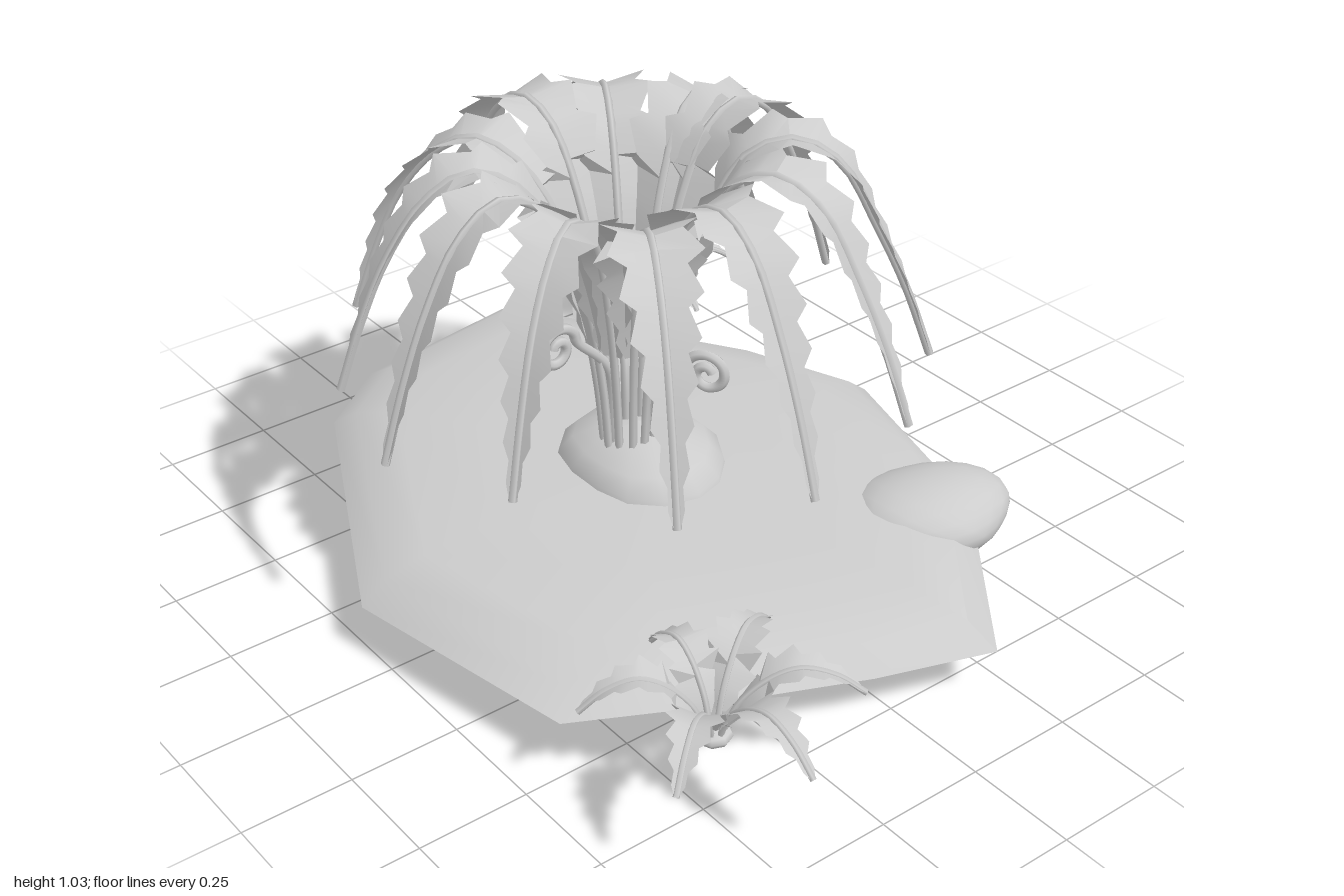
import * as THREE from 'three';
import { toCreasedNormals } from 'three/addons/utils/BufferGeometryUtils.js';

const stone = new THREE.MeshStandardMaterial({ color: 0xcccccc, side: THREE.DoubleSide });
stone.name = 'pale grey';

function part(name, geometry) {
  const mesh = new THREE.Mesh(geometry, stone);
  mesh.name = name;
  return mesh;
}

function build(points, index, crease) {
  const g = new THREE.BufferGeometry();
  g.setAttribute('position', new THREE.Float32BufferAttribute(points, 3));
  g.setIndex(index);
  return toCreasedNormals(g, crease);
}

// Closed body: one outline scaled into rings, listed from bottom to top
function loft(outline, [cx, cz], rings, crease) {
  const n = outline.length, points = [], index = [];
  rings.forEach(([s, y]) => outline.forEach(([x, z]) =>
    points.push(cx + (x - cx) * s, y, cz + (z - cz) * s)));
  for (let r = 0; r < rings.length - 1; r++) {
    for (let i = 0; i < n; i++) {
      const a = r * n + i, b = r * n + (i + 1) % n;
      index.push(a, b, b + n, a, b + n, a + n);
    }
  }
  return build(points, index, crease);
}

// Toothed, gently folded blade following a curve
function blade(curve, side, start, teeth, halfWidth) {
  const points = [], index = [], n = teeth * 2;
  for (let i = 0; i <= n; i++) {
    const u = i / n, t = start + (1 - start) * u;
    const p = curve.getPointAt(t), tan = curve.getTangentAt(t);
    const normal = new THREE.Vector3().crossVectors(side, tan).normalize();
    if (normal.y < 0 && u < 0.3) normal.negate();
    const shape = Math.min(1, 0.3 + u * 3) * Math.min(1, 0.1 + (1 - u) * 1.75);
    const tooth = i % 2 === 1;
    const w = halfWidth * shape * (tooth ? 1 : 0.66);
    const forward = tooth ? halfWidth * 0.25 * shape : 0;
    for (const s of [-1, 0, 1]) {
      const q = p.clone();
      if (s) q.addScaledVector(side, s * w).addScaledVector(normal, -0.25 * w).addScaledVector(tan, forward);
      points.push(q.x, q.y, q.z);
    }
    if (i < n) {
      const a = i * 3;
      for (const k of [a, a + 1]) index.push(k, k + 1, k + 4, k, k + 4, k + 3);
    }
  }
  return build(points, index, 0.4);
}

// Frond: profile of [radius, height] turned towards a tip position
function frond(name, [cx, cz], [tx, tz], profile, o) {
  const group = new THREE.Group();
  group.name = name;
  const reach = Math.hypot(tx - cx, tz - cz), dx = (tx - cx) / reach, dz = (tz - cz) / reach;
  const last = profile[profile.length - 1][0];
  const curve = new THREE.CatmullRomCurve3(profile.map(([r, y]) => {
    const k = r / last * reach;
    return new THREE.Vector3(cx + dx * k, y, cz + dz * k);
  }));
  const side = new THREE.Vector3(dz, 0, -dx);
  group.add(part('stem', new THREE.TubeGeometry(curve, 28, o.stem, 5)));
  group.add(part('blade', blade(curve, side, o.start, o.teeth, o.width)));
  return group;
}

// Curled young shoot: rising stalk ending in a spiral
function shoot([cx, cz], [x, y, z]) {
  const d = new THREE.Vector3(x - cx, 0, z - cz).normalize();
  const pts = [
    new THREE.Vector3(cx + d.x * 0.04, 0.25, cz + d.z * 0.04),
    new THREE.Vector3(cx + d.x * 0.06, y - 0.1, cz + d.z * 0.06),
  ];
  for (let i = 0; i <= 18; i++) {
    const a = Math.PI - i * 0.5, r = 0.055 * (1 - i / 23);
    pts.push(new THREE.Vector3(x + d.x * Math.cos(a) * r, y + Math.sin(a) * r, z + d.z * Math.cos(a) * r));
  }
  return part('curledShoot', new THREE.TubeGeometry(new THREE.CatmullRomCurve3(pts), 80, 0.012, 6));
}

export function createModel() {
  const model = new THREE.Group();
  model.name = 'fernIsland';

  // Flat island with a sharp rim
  const shore = [[-0.09, -0.68], [-0.38, -0.57], [-0.97, -0.2], [-0.9, 0.24], [-0.76, 0.43],
    [-0.09, 0.76], [0.48, 0.65], [0.58, 0.46], [0.76, 0.06], [0.85, -0.2], [0.56, -0.43], [0.27, -0.58]];
  model.add(part('island', loft(shore, [-0.07, 0.03],
    [[0.001, 0], [0.5, 0.022], [0.88, 0.06], [1, 0.115], [0.92, 0.16], [0.78, 0.187], [0.5, 0.2], [0.001, 0.207]], 0.6)));

  // Mound under the big fern
  const foot = [];
  for (let i = 0; i < 14; i++) {
    const a = -i / 14 * Math.PI * 2;
    foot.push([-0.08 + 0.215 * Math.cos(a), 0.015 + (0.18 + 0.012 * Math.sin(3 * a)) * Math.sin(a)]);
  }
  model.add(part('mound', loft(foot, [-0.09, 0.02],
    [[1, 0.19], [0.97, 0.215], [0.8, 0.25], [0.4, 0.288], [0.001, 0.297]], 0.8)));

  // Boulder on the rim
  const boulder = new THREE.IcosahedronGeometry(1, 3), p = boulder.attributes.position;
  for (let i = 0; i < p.count; i++) {
    const x = p.getX(i), y = p.getY(i), z = p.getZ(i);
    const k = 1 + 0.06 * Math.sin(3 * x + 1) + 0.05 * Math.sin(3 * z - 2 * y);
    p.setXYZ(i, 0.41 + (x * 0.165 - z * 0.01) * k, 0.145 + y * 0.08 * k, -0.42 + (z * 0.175 - x * 0.02) * k);
  }
  model.add(part('boulder', toCreasedNormals(boulder, 1)));

  // Big fern: twelve arching fronds
  const centre = [-0.085, 0.05];
  const tips = [[-0.15, -0.59], [-0.35, -0.52], [-0.67, -0.28], [-0.76, 0.07], [-0.66, 0.4], [-0.36, 0.62],
    [-0.05, 0.7], [0.22, 0.57], [0.5, 0.37], [0.59, 0.09], [0.5, -0.25], [0.31, -0.49]];
  const lift = [0.02, 0.01, 0, 0.01, -0.02, -0.01, 0, -0.02, -0.02, 0.01, 0.02, 0.03];
  tips.forEach((tip, i) => {
    const h = lift[i];
    model.add(frond('fernFrond', centre, tip,
      [[0.06, 0.25], [0.075, 0.42], [0.11, 0.62], [0.17, 0.81], [0.26, 0.94 + h], [0.36, 0.975 + h],
        [0.46, 0.92 + h], [0.55, 0.79], [0.62, 0.64], [0.68, 0.475]],
      { stem: 0.01, start: 0.2, teeth: 13, width: 0.1 }));
  });
  [[0.07, 0.47, -0.05], [-0.25, 0.53, -0.05], [-0.07, 0.575, 0.25]].forEach((at) => model.add(shoot(centre, at)));

  // Two small ferns at the shore
  const small = [
    { at: [0.7, 0.435], base: 0.12, top: 0.28, end: 0.215, width: 0.06,
      tips: [[1, 0.44], [0.87, 0.19], [0.57, 0.19], [0.48, 0.42], [0.57, 0.67], [0.88, 0.67]] },
    { at: [-0.79, -0.52], base: 0.14, top: 0.25, end: 0.195, width: 0.055,
      tips: [[-1, -0.61], [-0.69, -0.76], [-0.54, -0.51], [-0.7, -0.26], [-0.98, -0.41]] },
  ];
  for (const s of small) {
    const fern = new THREE.Group(), rise = s.top - s.base;
    fern.name = 'smallFern';
    const crown = part('crown', new THREE.SphereGeometry(0.04, 8, 6));
    crown.scale.y = 0.5;
    crown.position.set(s.at[0], s.base + 0.005, s.at[1]);
    fern.add(crown);
    s.tips.forEach((tip) => fern.add(frond('smallFrond', s.at, tip,
      [[0.015, s.base], [0.05, s.base + rise * 0.5], [0.11, s.base + rise * 0.86], [0.17, s.top],
        [0.24, s.top - 0.02], [0.3, s.end]],
      { stem: 0.007, start: 0.12, teeth: 7, width: s.width })));
    model.add(fern);
  }
  return model;
}
